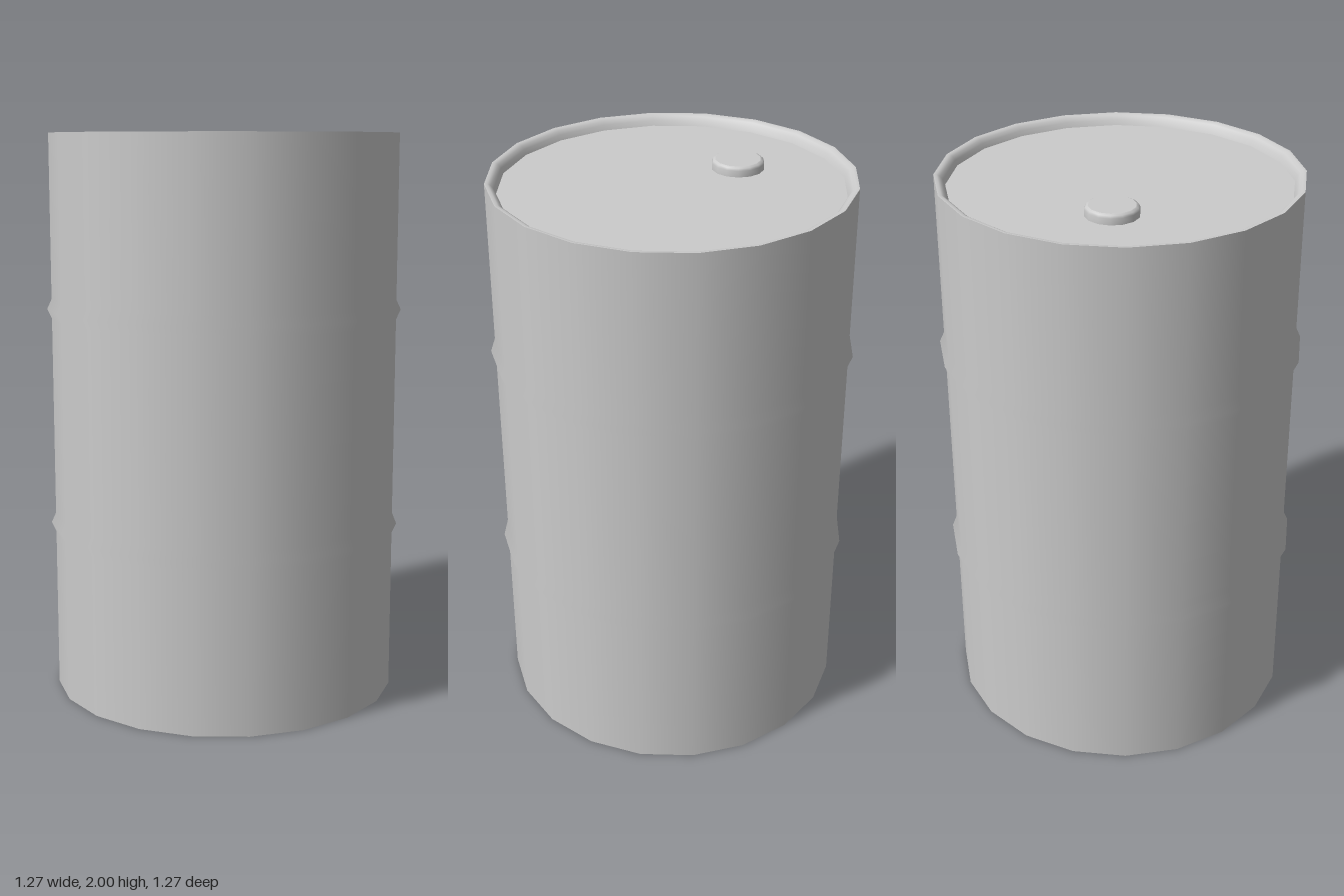
import * as THREE from 'three';

const SIDES = 20;
const RADIUS = 0.617;
const HEIGHT = 2;
const RECESS = 0.036;

const material = new THREE.MeshStandardMaterial({ color: 0xcccccc });

function part(name, geometry) {
  const mesh = new THREE.Mesh(geometry, material);
  mesh.name = name;
  return mesh;
}

function lathe(points, sides) {
  return new THREE.LatheGeometry(points.map(([r, y]) => new THREE.Vector2(r, y)), sides);
}

// Side wall with two rolled hoops; normals stay radial so the hoops shade softly
function wallGeometry() {
  const points = [[RADIUS, 0]];
  for (const y of [0.608, 1.386]) {
    points.push([RADIUS, y - 0.035], [0.633, y], [RADIUS, y + 0.035]);
  }
  points.push([RADIUS, HEIGHT]);
  const geometry = lathe(points, SIDES);
  const { position, normal } = geometry.attributes;
  for (let i = 0; i < position.count; i++) {
    const x = position.getX(i), z = position.getZ(i);
    const r = Math.hypot(x, z);
    normal.setXYZ(i, x / r, 0, z / r);
  }
  return geometry;
}

// Recessed end disc with a rounded rim, centred on the rim's top plane
function drumEnd(discName, rimName) {
  const group = new THREE.Group();
  group.add(part(rimName, lathe([
    [RADIUS, 0], [0.606, 0], [0.596, -0.006], [0.587, -0.018], [0.58, -RECESS],
  ], SIDES)));
  const disc = part(discName, new THREE.CircleGeometry(0.58, SIDES).rotateX(-Math.PI / 2));
  disc.position.y = -RECESS;
  group.add(disc);
  return group;
}

export function createModel() {
  const drum = new THREE.Group();
  drum.name = 'drum';
  drum.add(part('sideWall', wallGeometry()));

  const top = drumEnd('lid', 'topRim');
  top.name = 'topEnd';
  top.position.y = HEIGHT;
  drum.add(top);

  const bottom = drumEnd('base', 'bottomRim');
  bottom.name = 'bottomEnd';
  bottom.rotation.x = Math.PI;
  drum.add(bottom);

  // Filler cap on the lid
  const cap = new THREE.Group();
  cap.name = 'fillerCap';
  cap.add(part('capSide', lathe([[0.09, 0], [0.09, 0.022], [0.086, 0.03], [0.078, 0.034]], 14)));
  const capTop = part('capTop', new THREE.CircleGeometry(0.078, 14, Math.PI / 2).rotateX(-Math.PI / 2));
  capTop.position.y = 0.034;
  cap.add(capTop);
  cap.position.set(-0.27, HEIGHT - RECESS, 0.052);
  drum.add(cap);

  return drum;
}
